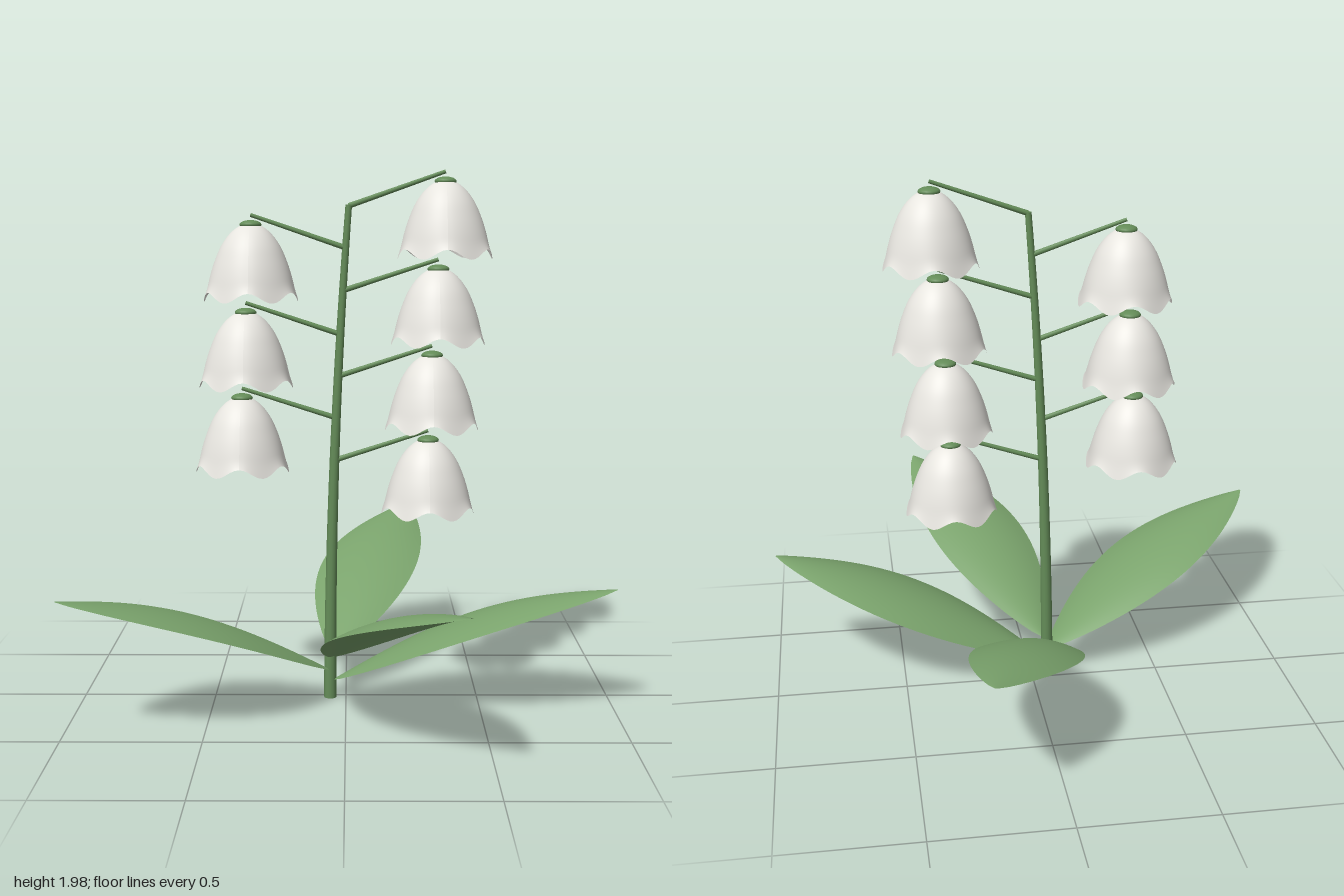
import * as THREE from 'three';

const material = (name, color, side = THREE.FrontSide) => {
  const m = new THREE.MeshStandardMaterial({ color, side });
  m.name = name;
  return m;
};

const STEM_HEIGHT = 1.86;
// Centre of the gently curved stem at height y
const stemAt = (y) => {
  const u = y / STEM_HEIGHT;
  return new THREE.Vector3(-0.06 + 0.07 * u * u, y, 0.02 + 0.015 * u);
};

function stemGeometry() {
  const g = new THREE.CylinderGeometry(0.012, 0.024, STEM_HEIGHT, 12, 24);
  g.translate(0, STEM_HEIGHT / 2, 0);
  const p = g.attributes.position;
  for (let i = 0; i < p.count; i++) {
    const c = stemAt(p.getY(i));
    p.setX(i, p.getX(i) + c.x);
    p.setZ(i, p.getZ(i) + c.z);
  }
  return g;
}

// Six-lobed bell hanging from y = 0
function bellGeometry() {
  const profile = [
    [0.005, -0.015], [0.04, -0.022], [0.076, -0.05], [0.108, -0.095], [0.132, -0.15],
    [0.148, -0.2], [0.16, -0.25], [0.172, -0.295],
  ].map(([r, y]) => new THREE.Vector2(r, y));
  const points = new THREE.SplineCurve(profile).getPoints(24).reverse();
  const g = new THREE.LatheGeometry(points, 72);
  const p = g.attributes.position;
  for (let i = 0; i < p.count; i++) {
    const y = p.getY(i);
    const angle = Math.atan2(p.getZ(i), p.getX(i));
    const lift = 0.5 - 0.5 * Math.cos(6 * angle);
    p.setY(i, y * (1 - 0.12 * lift * Math.pow(-y / 0.295, 4)));
  }
  g.computeVertexNormals();
  return g;
}

// Arched leaf blade, cambered across its width, from base to tip
function leafGeometry(base, tip, bow) {
  const rows = 28, cols = 12;
  const along = tip.clone().sub(base);
  const side = new THREE.Vector3(-along.z, 0, along.x).normalize();
  const positions = [], index = [];
  for (let i = 0; i <= rows; i++) {
    const t = i / rows;
    const wave = Math.max(0, Math.sin(Math.PI * t));
    const half = 0.004 + 0.196 * Math.pow(wave, 0.85);
    for (let j = 0; j <= cols; j++) {
      const s = (j / cols) * 2 - 1;
      const v = base.clone().addScaledVector(along, t);
      v.addScaledVector(side, s * half + bow * wave);
      v.y += 0.075 * wave - 0.22 * half * s * s;
      positions.push(v.x, v.y, v.z);
      if (i < rows && j < cols) {
        const a = i * (cols + 1) + j, b = a + cols + 1;
        index.push(a, a + 1, b, b, a + 1, b + 1);
      }
    }
  }
  const g = new THREE.BufferGeometry();
  g.setAttribute('position', new THREE.Float32BufferAttribute(positions, 3));
  // Wind the faces so that the upper side is the front
  for (let k = 0; k < index.length; k += 3) {
    [index[k + 1], index[k + 2]] = [index[k + 2], index[k + 1]];
  }
  g.setIndex(index);
  g.computeVertexNormals();
  return g;
}

export function createModel() {
  const stemGreen = material('stem green', 0x648c58);
  const leafGreen = material('leaf green', 0x7aa36c, THREE.DoubleSide);
  const petalWhite = material('petal white', 0xf0eee8, THREE.DoubleSide);
  const pollenYellow = material('pollen yellow', 0xd8ac48);

  const model = new THREE.Group();
  model.name = 'bellFlowerPlant';
  const add = (parent, name, geometry, mat) => {
    const mesh = new THREE.Mesh(geometry, mat);
    mesh.name = name;
    parent.add(mesh);
    return mesh;
  };

  add(model, 'stem', stemGeometry(), stemGreen);

  // Flowers: stalk height on the stem, bell x, height of the cap top
  const flowers = [
    [1.855, 0.36, 1.96], [1.55, 0.337, 1.645], [1.235, 0.317, 1.33], [0.92, 0.305, 1.015],
    [1.705, -0.347, 1.805], [1.39, -0.368, 1.487], [1.08, -0.385, 1.172],
  ];
  const bell = bellGeometry();
  const cap = new THREE.SphereGeometry(0.04, 20, 12).scale(1, 0.42, 1);
  const pollen = new THREE.SphereGeometry(0.02, 16, 12);
  for (const [y, x, top] of flowers) {
    const flower = new THREE.Group();
    flower.name = 'flower';
    flower.position.set(x, top, 0.032);
    add(flower, 'bell', bell, petalWhite);
    add(flower, 'bellCap', cap, stemGreen).position.y = -0.017;
    add(flower, 'pollenBall', pollen, pollenYellow).position.y = -0.19;
    model.add(flower);

    // Straight stalk from the stem to just above the cap
    const from = stemAt(y), to = new THREE.Vector3(x, top + 0.018, 0.032);
    const dir = to.clone().sub(from);
    const stalk = add(model, 'flowerStalk',
      new THREE.CylinderGeometry(0.007, 0.01, dir.length(), 8), stemGreen);
    stalk.position.copy(from).addScaledVector(dir, 0.5);
    stalk.quaternion.setFromUnitVectors(new THREE.Vector3(0, 1, 0), dir.normalize());
  }

  // Leaves: base, tip, sideways bow
  const leaves = [
    ['backLeaf', [-0.045, 0.16, 0.0], [0.265, 0.555, -1.0], -0.02],
    ['frontLeaf', [-0.05, 0.16, 0.03], [0.39, 0.59, 0.995], 0.02],
    ['rightLeaf', [-0.06, 0.11, 0.025], [-0.99, 0.52, 0.555], 0],
    ['leftLeaf', [-0.05, 0.07, 0.025], [0.985, 0.485, 0.25], -0.02],
  ];
  for (const [name, base, tip, bow] of leaves) {
    add(model, name, leafGeometry(new THREE.Vector3(...base), new THREE.Vector3(...tip), bow), leafGreen);
  }
  return model;
}
